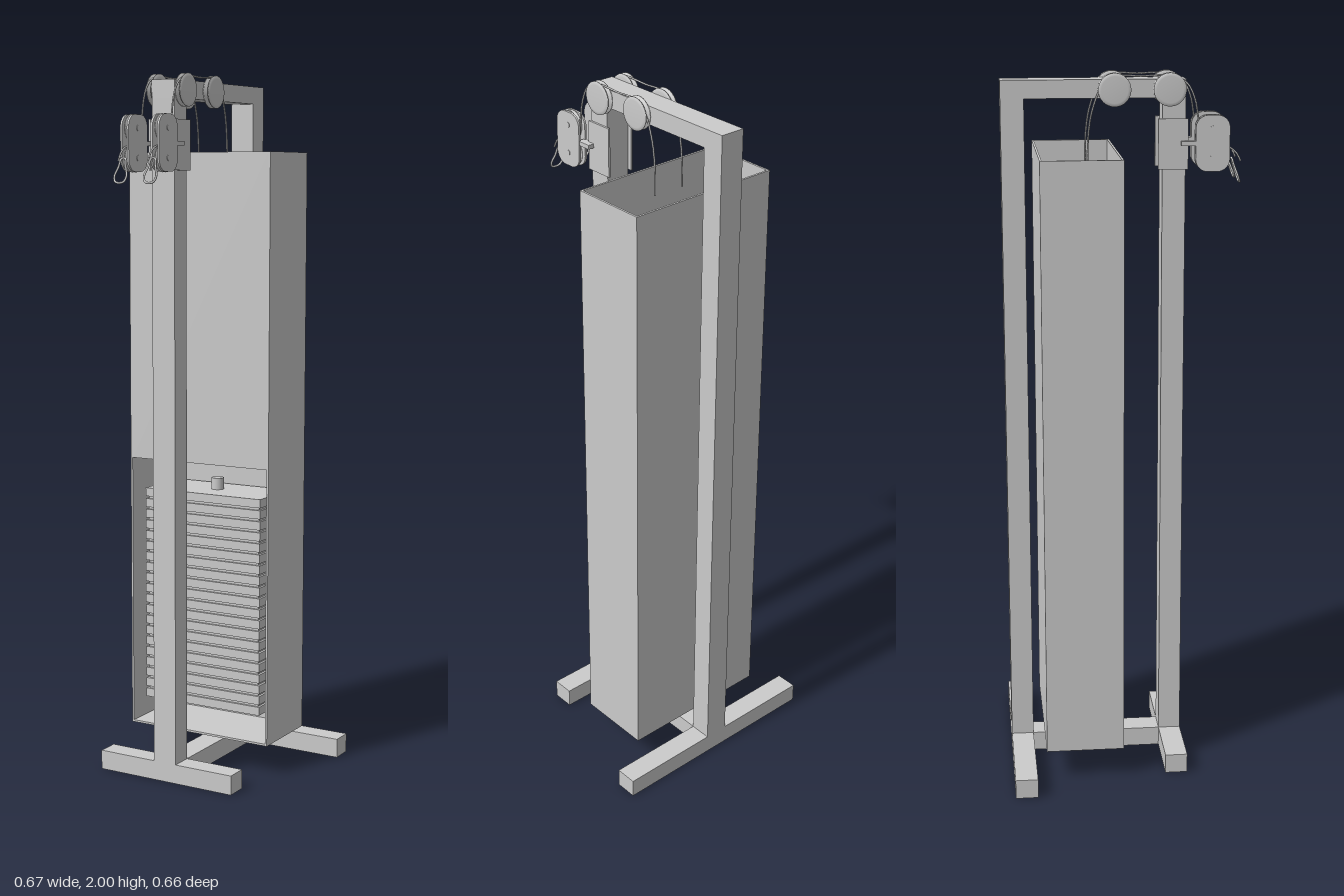
import * as THREE from 'three';

const material = new THREE.MeshStandardMaterial({ color: 0xcccccc });

function add(parent, name, geometry, x = 0, y = 0, z = 0) {
  const mesh = new THREE.Mesh(geometry, material);
  mesh.name = name;
  mesh.position.set(x, y, z);
  parent.add(mesh);
  return mesh;
}

// Box given by its minimum and maximum on each axis
function box(parent, name, [x0, x1], [y0, y1], [z0, z1]) {
  return add(parent, name, new THREE.BoxGeometry(x1 - x0, y1 - y0, z1 - z0),
    (x0 + x1) / 2, (y0 + y1) / 2, (z0 + z1) / 2);
}

function group(parent, name) {
  const g = new THREE.Group();
  g.name = name;
  parent.add(g);
  return g;
}

// Grooved wheel turning about the x axis
function pulley(parent, name, r, w, x, y, z) {
  const h = w / 2;
  const profile = [[0, -h], [r * 0.8, -h], [r, -h * 0.8], [r, -h * 0.55], [r * 0.76, -h * 0.15],
    [r * 0.76, h * 0.15], [r, h * 0.55], [r, h * 0.8], [r * 0.8, h], [0, h]]
    .map(([a, b]) => new THREE.Vector2(a, b));
  const geometry = new THREE.LatheGeometry(profile, 32).rotateZ(Math.PI / 2);
  return add(parent, name, geometry, x, y, z);
}

function tube(parent, name, points, radius, closed = false) {
  const curve = new THREE.CatmullRomCurve3(points.map(p => new THREE.Vector3(...p)), closed, 'centripetal');
  return add(parent, name, new THREE.TubeGeometry(curve, 64, radius, 8, closed));
}

// Rounded cheek plate lying in the yz plane
function cheekGeometry(width, height, r, thickness) {
  const a = width / 2, b = height / 2, s = new THREE.Shape();
  s.moveTo(-a + r, -b);
  s.lineTo(a - r, -b);
  s.absarc(a - r, -b + r, r, -Math.PI / 2, 0);
  s.absarc(a - r, b - r, r, 0, Math.PI / 2);
  s.absarc(-a + r, b - r, r, Math.PI / 2, Math.PI);
  s.absarc(-a + r, -b + r, r, Math.PI, Math.PI * 1.5);
  return new THREE.ExtrudeGeometry(s, { depth: thickness, bevelEnabled: false, curveSegments: 8 })
    .translate(0, 0, -thickness / 2).rotateY(Math.PI / 2);
}

function buildFrame(model) {
  const frame = group(model, 'frame');
  const bar = [-0.036, 0.036], front = [0.11, 0.174], rear = [-0.331, -0.267];
  box(frame, 'rearFoot', [-0.333, 0.333], [0, 0.056], rear);
  box(frame, 'frontFoot', [-0.218, 0.218], [0, 0.056], front);
  box(frame, 'baseSpine', bar, [0, 0.056], [rear[1], front[0]]);
  box(frame, 'frontPost', bar, [0.056, 1.932], front);
  box(frame, 'rearPost', bar, [0.056, 1.932], rear);
  box(frame, 'topBeam', bar, [1.932, 1.982], [rear[0], front[1]]);
}

// Open-topped cabinet with an opening low in its front
function buildHousing(model) {
  const housing = group(model, 'housing');
  const t = 0.006, X = 0.231, y = [0.09, 1.79], z0 = -0.236, z1 = -0.013;
  for (const s of [-1, 1]) {
    box(housing, 'sideWall', s < 0 ? [-X, -X + t] : [X - t, X], y, [z0, z1]);
  }
  box(housing, 'backWall', [-X + t, X - t], y, [z0, z0 + t]);
  box(housing, 'frontPanel', [-X + t, X - t], [0.9, y[1]], [z1 - t, z1]);
  box(housing, 'floor', [-X + t, X - t], [y[0], y[0] + t], [z0 + t, z1]);
}

function buildWeights(model) {
  const stack = group(model, 'weightStack');
  const count = 20, bottom = 0.17, pitch = 0.0323;
  for (let i = 0; i < count; i++) {
    const y = bottom + i * pitch;
    box(stack, 'weightPlate', [-0.193, 0.193], [y, y + 0.025], [-0.22, -0.034]);
  }
  box(stack, 'stackCore', [-0.186, 0.186], [0.172, 0.8], [-0.213, -0.041]);
  add(stack, 'stackPeg', new THREE.CylinderGeometry(0.018, 0.018, 0.036, 24), 0, 0.825, -0.127);
}

// Pulleys, cable, swivel block and clip for one side
function buildCableSide(model, s) {
  const side = group(model, s > 0 ? 'leftCableSet' : 'rightCableSet');
  const x = s * 0.047;
  for (const z of [0.129, -0.022]) {
    pulley(side, 'topPulley', 0.045, 0.021, s * 0.0455, 1.955, z);
  }
  tube(side, 'cable', [
    [x, 1.75, -0.096], [x, 1.83, -0.094], [x, 1.9, -0.083], [x, 1.96, -0.058], [x, 1.99, -0.02],
    [x, 1.991, 0.05], [x, 1.991, 0.135], [x, 1.972, 0.175], [x, 1.93, 0.197],
    [x, 1.87, 0.208], [x, 1.81, 0.22], [x, 1.805, 0.26], [x, 1.797, 0.295],
    [x, 1.78, 0.315], [x, 1.76, 0.325],
  ], 0.0025);

  // Bracket on the post and the arm that carries the block
  box(side, 'bracketPlate', s > 0 ? [0.036, 0.042] : [-0.042, -0.036], [1.738, 1.876], [0.098, 0.181]);
  const arm = s > 0 ? [0.036, 0.06] : [-0.06, -0.036];
  box(side, 'swivelArm', arm, [1.804, 1.816], [0.16, 0.205]);

  // Two guide pulleys between rounded cheeks
  const block = group(side, 'swivelBlock');
  for (const dx of [-0.0105, 0.0105]) {
    add(block, 'cheekPlate', cheekGeometry(0.094, 0.153, 0.034, 0.006), s * 0.048 + dx, 1.81, 0.246);
  }
  for (const y of [1.85, 1.77]) {
    pulley(block, 'guidePulley', 0.038, 0.015, s * 0.048, y, 0.246);
    const axle = new THREE.CylinderGeometry(0.008, 0.008, 0.03, 16).rotateZ(Math.PI / 2);
    add(block, 'axle', axle, s * 0.048, y, 0.246);
  }

  // Hanging clip, narrow at the top and wide below
  tube(side, 'clip', [
    [x - 0.006, 1.768, 0.3], [x + 0.006, 1.768, 0.3], [x + 0.012, 1.745, 0.307],
    [x + 0.019, 1.72, 0.316], [x + 0.012, 1.706, 0.321], [x - 0.012, 1.706, 0.321],
    [x - 0.019, 1.72, 0.316], [x - 0.012, 1.745, 0.307],
  ], 0.003, true);
}

export function createModel() {
  const model = new THREE.Group();
  model.name = 'cableMachine';
  buildFrame(model);
  buildHousing(model);
  buildWeights(model);
  for (const s of [-1, 1]) buildCableSide(model, s);
  return model;
}
